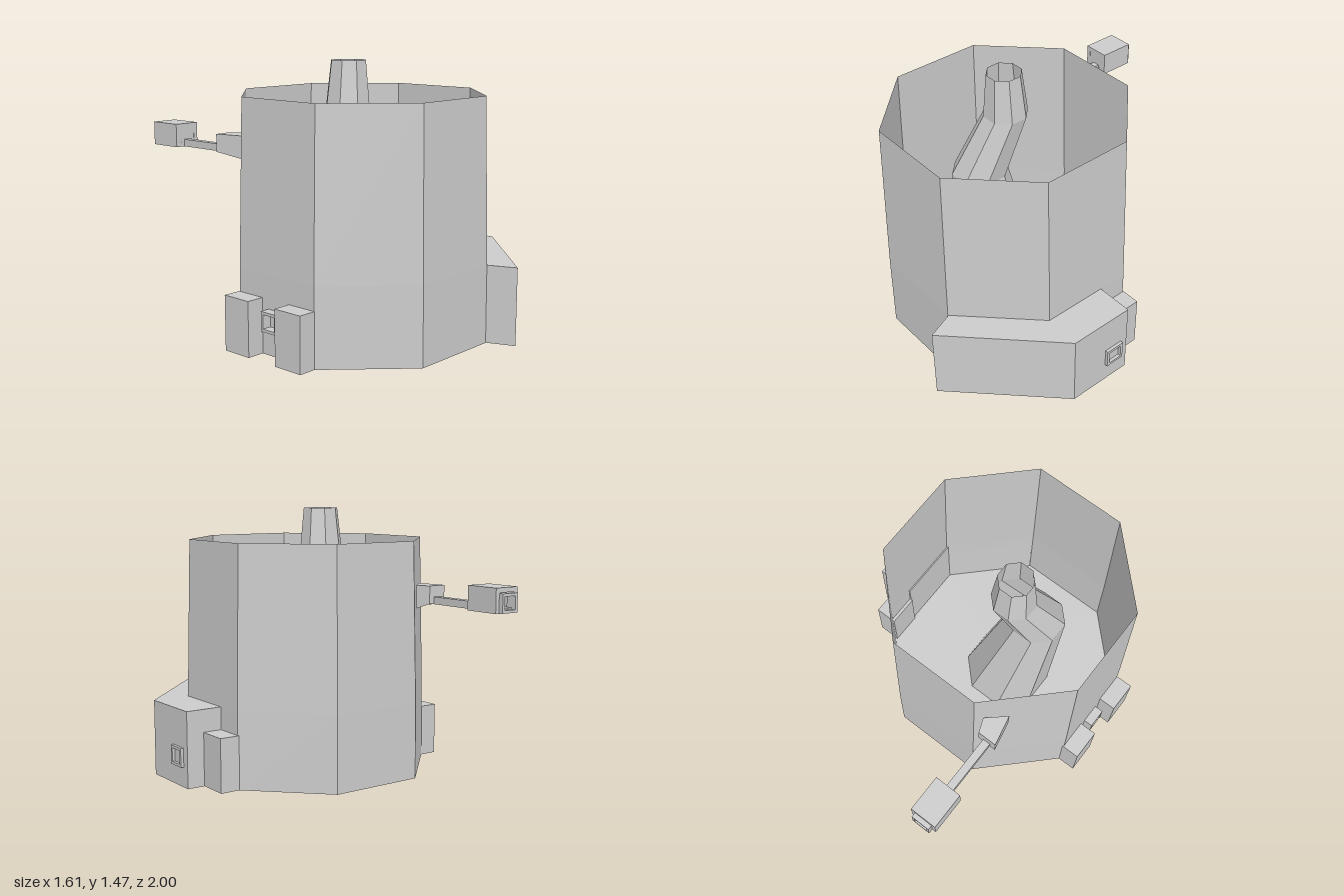
import * as THREE from 'three';

const material = new THREE.MeshStandardMaterial({
  color: 0xcccccc, flatShading: true, side: THREE.DoubleSide,
});

// Octagon with flats on the axes; r is the distance from centre to flat
function octagon(cx, y, cz, r) {
  const R = r / Math.cos(Math.PI / 8);
  return Array.from({ length: 8 }, (_, i) => {
    const a = Math.PI / 8 + (i * Math.PI) / 4;
    return new THREE.Vector3(cx + R * Math.sin(a), y, cz + R * Math.cos(a));
  });
}

// Joins successive rings with quads, optionally capping the last ring
function loft(rings, cap = false) {
  const pos = [];
  const tri = (...pts) => pts.forEach((p) => pos.push(p.x, p.y, p.z));
  for (let k = 0; k < rings.length - 1; k++) {
    const a = rings[k], b = rings[k + 1], n = a.length;
    for (let i = 0; i < n; i++) {
      const j = (i + 1) % n;
      tri(a[i], a[j], b[j]);
      tri(a[i], b[j], b[i]);
    }
  }
  if (cap) {
    const e = rings[rings.length - 1];
    for (let i = 1; i < e.length - 1; i++) tri(e[0], e[i], e[i + 1]);
  }
  const g = new THREE.BufferGeometry();
  g.setAttribute('position', new THREE.Float32BufferAttribute(pos, 3));
  g.computeVertexNormals();
  return g;
}

// Box from its lower and upper bounds
function block(x0, x1, y0, y1, z0, z1) {
  return new THREE.BoxGeometry(x1 - x0, y1 - y0, z1 - z0)
    .translate((x0 + x1) / 2, (y0 + y1) / 2, (z0 + z1) / 2);
}

// Hollow rectangular pipe running along z, centred on the origin
function squarePipe(w, h, wall, depth) {
  const rect = (target, a, b) => {
    target.moveTo(-a, -b);
    target.lineTo(a, -b);
    target.lineTo(a, b);
    target.lineTo(-a, b);
    target.closePath();
    return target;
  };
  const s = rect(new THREE.Shape(), w / 2, h / 2);
  s.holes.push(rect(new THREE.Path(), w / 2 - wall, h / 2 - wall));
  return new THREE.ExtrudeGeometry(s, { depth, bevelEnabled: false }).translate(0, 0, -depth / 2);
}

export function createModel() {
  const model = new THREE.Group();
  const add = (name, geometry, parent = model) => {
    const mesh = new THREE.Mesh(geometry, material);
    mesh.name = name;
    parent.add(mesh);
    return mesh;
  };

  // Open octagonal tank, tapering above the side housing
  const cx = -0.063, cz = 0.212;
  add('tankWall', loft([
    octagon(cx, 0, cz, 0.643),
    octagon(cx, 0.42, cz, 0.64),
    octagon(cx, 1.3, cz, 0.618),
  ]));

  // Floor with the opening under the chimney
  add('tankFloor', loft([
    octagon(cx, 0, cz, 0.643),
    octagon(-0.1, 0, 0.215, 0.234),
  ]));

  // Hollow bent chimney
  add('chimney', loft([
    octagon(-0.1, 0, 0.215, 0.234),
    octagon(-0.215, 0.86, 0.295, 0.143),
    octagon(-0.128, 1.22, 0.173, 0.113),
    octagon(-0.128, 1.47, 0.178, 0.089),
  ]));

  // Side housing wrapped around one corner of the tank
  const plan = [[0.205, 0.85], [0.265, 1], [0.785, 0.485], [0.785, 0.115], [0.57, 0.115], [0.57, 0.485]];
  const housing = new THREE.Shape(plan.map(([x, z]) => new THREE.Vector2(x, -z)));
  add('sideHousing', new THREE.ExtrudeGeometry(housing, { depth: 0.42, bevelEnabled: false })
    .rotateX(-Math.PI / 2));

  // Feet
  add('leftFoot', block(0.56, 0.685, 0, 0.295, -0.06, 0.115));
  add('rightBackFoot', block(-0.803, -0.68, 0, 0.295, -0.06, 0.115));
  add('rightFrontFoot', block(-0.803, -0.68, 0, 0.295, 0.305, 0.48));

  // Square pipe stubs on both sides
  add('leftStub', squarePipe(0.11, 0.105, 0.015, 0.03)
    .rotateY(Math.PI / 2).translate(0.787, 0.163, 0.212));
  add('rightStub', squarePipe(0.11, 0.105, 0.015, 0.07)
    .rotateY(Math.PI / 2).translate(-0.721, 0.19, 0.212));

  // Arm reaching backwards: bracket, rod and open-ended head
  const arm = new THREE.Group();
  arm.name = 'rearArm';
  model.add(arm);
  const v = (x, y, z) => new THREE.Vector3(x, y, z);
  add('armBracket', loft([
    [v(-0.46, 0.935, -0.3), v(-0.36, 0.935, -0.39), v(-0.36, 1.06, -0.385), v(-0.46, 1.06, -0.295)],
    [v(-0.495, 0.962, -0.46), v(-0.39, 0.962, -0.46), v(-0.39, 1.06, -0.46), v(-0.495, 1.06, -0.46)],
  ], true), arm);
  add('armRod', block(-0.462, -0.42, 0.96, 1, -0.79, -0.45), arm);
  add('armHead', squarePipe(0.15, 0.13, 0.025, 0.2).translate(-0.443, 1.025, -0.875), arm);
  add('armHeadPlate', block(-0.515, -0.371, 0.962, 1.088, -0.85, -0.776), arm);
  add('armHeadRim', squarePipe(0.105, 0.1, 0.015, 0.06).translate(-0.443, 1.012, -0.97), arm);

  return model;
}
